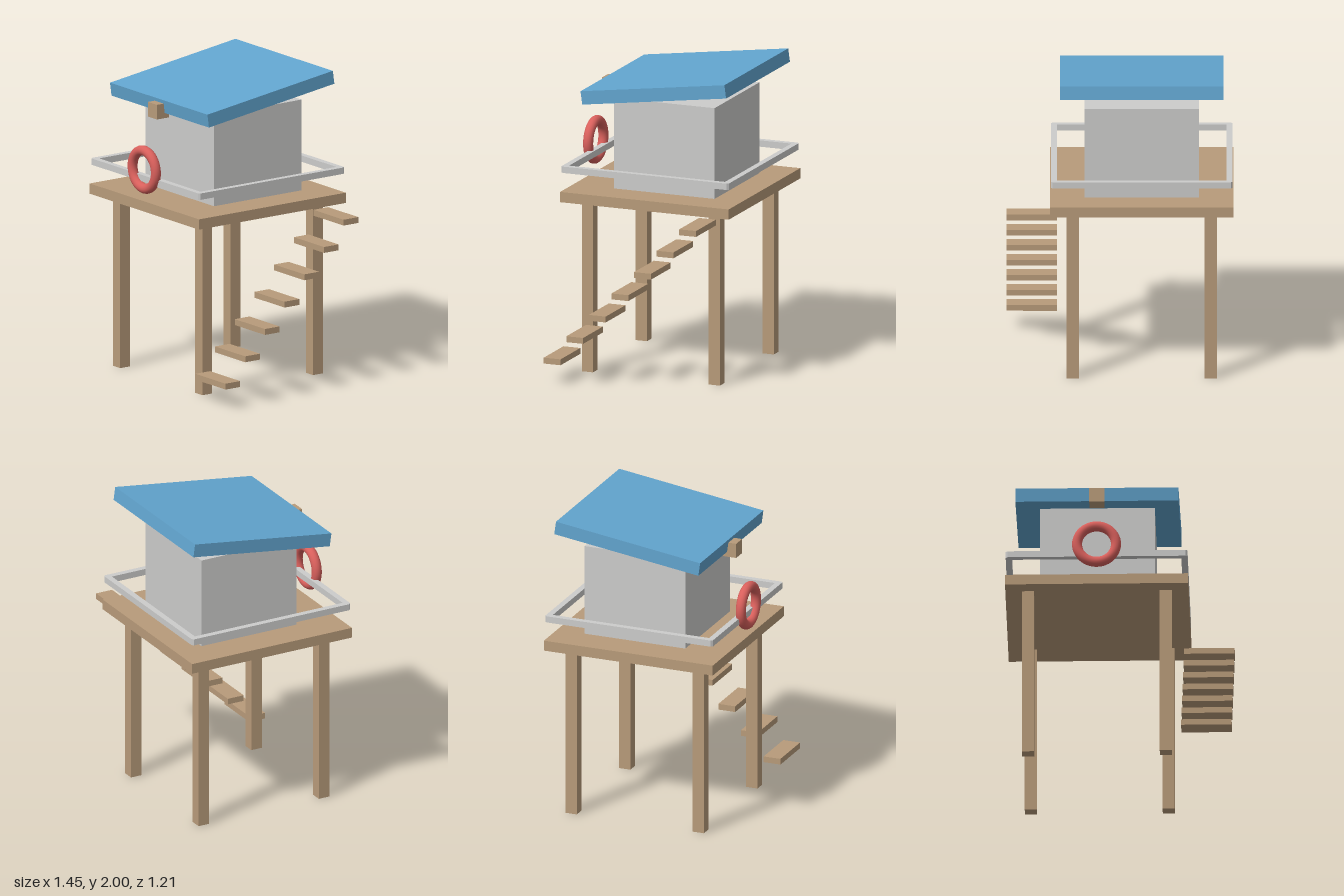
import * as THREE from 'three';

const wood = new THREE.MeshStandardMaterial({ name: 'wood', color: 0xb89b7a });
const paleGrey = new THREE.MeshStandardMaterial({ name: 'paleGrey', color: 0xcccccb });
const roofBlue = new THREE.MeshStandardMaterial({ name: 'roofBlue', color: 0x62a5cf });
const buoyRed = new THREE.MeshStandardMaterial({ name: 'buoyRed', color: 0xd9605c });

// Centre of the square deck
const CX = -0.142, CZ = -0.016;

export function createModel() {
  const model = new THREE.Group();
  model.name = 'lifeguardTower';

  const add = (name, geometry, material, x, y, z) => {
    const mesh = new THREE.Mesh(geometry, material);
    mesh.name = name;
    mesh.position.set(x, y, z);
    model.add(mesh);
    return mesh;
  };
  const box = (name, material, w, h, d, x, y, z) =>
    add(name, new THREE.BoxGeometry(w, h, d), material, x, y, z);

  // Four legs under the deck
  for (const sx of [-1, 1]) {
    for (const sz of [-1, 1]) {
      box('leg', wood, 0.078, 1.135, 0.078, CX + sx * 0.442, 0.5675, CZ + sz * 0.442);
    }
  }
  box('deck', wood, 1.174, 0.068, 1.174, CX, 1.166, CZ);

  // Hut and its sloping roof
  box('hut', paleGrey, 0.736, 0.6, 0.7, CX, 1.5, -0.062);
  box('roof', roofBlue, 1.046, 0.088, 1.012, CX, 1.888, -0.051).rotation.x = 0.138;
  box('lampBlock', wood, 0.097, 0.097, 0.097, CX, 1.79, 0.459);

  // Railing: square frame with slightly cut corners
  const R = 0.583, C = 0.571, I = 0.543;
  const frame = new THREE.Shape([
    [-C, -R], [C, -R], [R, -C], [R, C], [C, R], [-C, R], [-R, C], [-R, -C],
  ].map(([x, y]) => new THREE.Vector2(x, y)));
  frame.holes.push(new THREE.Path(
    [[-I, -I], [-I, I], [I, I], [I, -I]].map(([x, y]) => new THREE.Vector2(x, y))));
  const railing = new THREE.ExtrudeGeometry(frame, { depth: 0.042, bevelEnabled: false });
  railing.rotateX(-Math.PI / 2);
  add('railing', railing, paleGrey, CX, 1.326, CZ);

  // Life ring hung on the front rail
  add('lifeRing', new THREE.TorusGeometry(0.125, 0.0325, 16, 48), buoyRed, CX, 1.411, 0.572);

  // Floating steps climbing from front to back
  for (let i = 0; i < 7; i++) {
    box('step', wood, 0.324, 0.039, 0.117, 0.562, 0.15 + i * 0.157, 0.508 - i * 0.1573);
  }

  return model;
}
